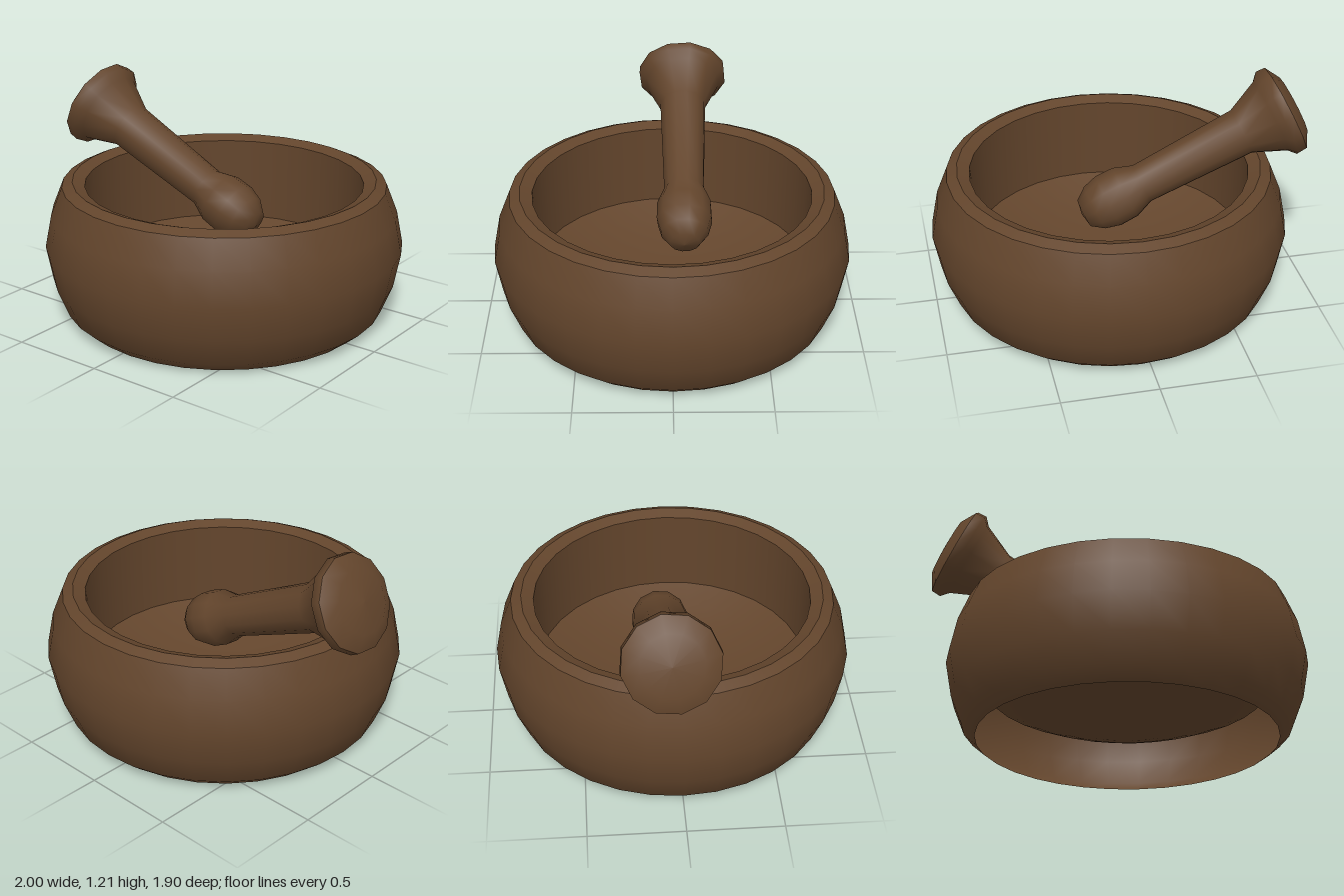
import * as THREE from 'three';

const wood = new THREE.MeshStandardMaterial({ color: 0x63452c, side: THREE.DoubleSide });

// Turned part from [radius, height] pairs
function turned(name, profile, sides) {
  const points = profile.map(([r, y]) => new THREE.Vector2(r, y));
  const mesh = new THREE.Mesh(new THREE.LatheGeometry(points, sides), wood);
  mesh.name = name;
  return mesh;
}

export function createModel() {
  const group = new THREE.Group();
  group.name = 'mortarAndPestle';

  // Mortar: bulging open-bottomed shell, bevelled rim, inner wall
  const mortar = new THREE.Group();
  mortar.name = 'mortar';
  mortar.add(
    turned('outerWall', [[0.785, 0], [0.855, 0.06], [0.915, 0.21], [0.95, 0.395],
      [0.915, 0.57], [0.855, 0.72]], 32),
    turned('outerRim', [[0.855, 0.72], [0.8, 0.745]], 32),
    turned('innerRim', [[0.8, 0.745], [0.735, 0.72]], 32),
    turned('innerWall', [[0.735, 0.72], [0.732, 0.265]], 32),
  );

  // Dished floor: a shallow curve sinking towards the middle
  const floor = [];
  for (let i = 0; i <= 6; i++) {
    const t = 1 - i / 6;
    floor.push([0.732 * t, 0.095 + 0.17 * t * t]);
  }
  mortar.add(turned('floor', floor, 32));
  mortar.position.x = 0.047;
  group.add(mortar);

  // Pestle: domed cap, flared head, tapering handle and blunt grinding end
  const pestle = new THREE.Group();
  pestle.name = 'pestle';
  const cap = turned('cap', [[0, -0.06], [0.16, -0.048], [0.245, 0]], 12);
  const shaft = turned('handle', [[0.245, 0], [0.248, 0.05], [0.207, 0.087], [0.128, 0.26],
    [0.109, 0.85], [0.147, 0.95], [0.15, 1.05], [0.128, 1.13], [0.08, 1.195], [0, 1.21]], 12);
  for (const part of [cap, shaft]) {
    part.rotation.y = THREE.MathUtils.degToRad(20);
    pestle.add(part);
  }
  pestle.rotation.z = THREE.MathUtils.degToRad(-115);
  pestle.position.set(-0.89, 0.99, -0.067);
  group.add(pestle);

  return group;
}
